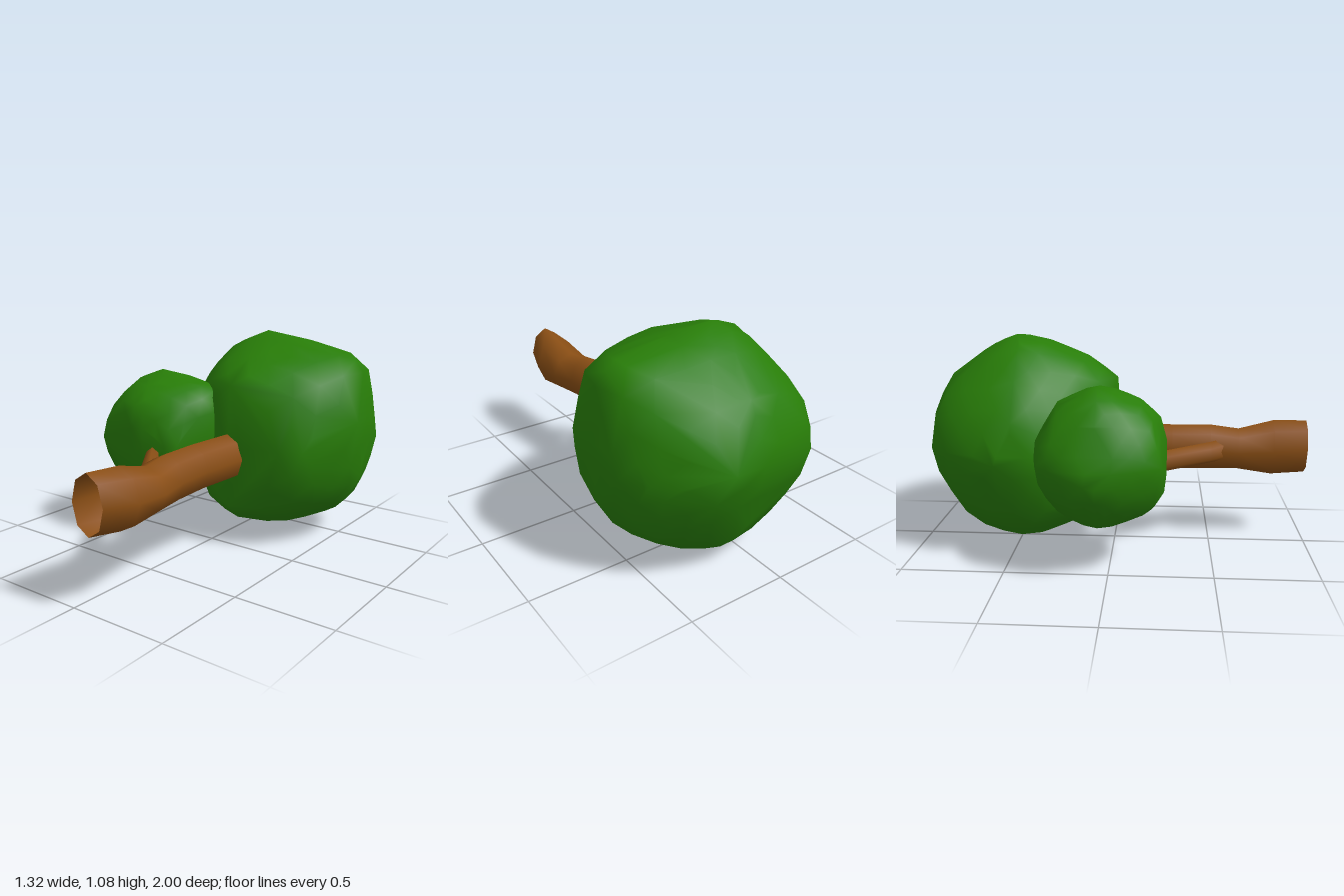
import * as THREE from 'three';
import { mergeVertices } from 'three/addons/utils/BufferGeometryUtils.js';
import { ConvexGeometry } from 'three/addons/geometries/ConvexGeometry.js';

const leafMaterial = new THREE.MeshStandardMaterial({ color: 0x287d08 });
const barkMaterial = new THREE.MeshStandardMaterial({ color: 0x8b4f15, side: THREE.DoubleSide });

// Weld the corners so the normals come out smooth
function smooth(geometry) {
  geometry.deleteAttribute('normal');
  geometry.deleteAttribute('uv');
  const welded = mergeVertices(geometry, 1e-4);
  welded.computeVertexNormals();
  return welded;
}

// Distance from (cu, cv) to a closed outline along the direction (du, dv)
function reach(outline, cu, cv, du, dv) {
  let best = 0;
  outline.forEach(([u0, v0], i) => {
    const [u1, v1] = outline[(i + 1) % outline.length];
    const eu = u1 - u0, ev = v1 - v0;
    const det = du * ev - dv * eu;
    if (Math.abs(det) < 1e-9) return;
    const t = ((u0 - cu) * ev - (v0 - cv) * eu) / det;
    const s = ((u0 - cu) * dv - (v0 - cv) * du) / det;
    if (t > 0 && s >= -1e-6 && s <= 1 + 1e-6) best = Math.max(best, t);
  });
  return best;
}

// Lumpy crown: the hull of three outlines (x-y, x-z, z-y) and a ball blended between them.
// An outline point may carry its own depth, otherwise it lies in the plane of the centre.
function crown(name, [cx, cy, cz], xy, xz, zy) {
  const points = [
    ...xy.map(([x, y, z = cz]) => new THREE.Vector3(x, y, z)),
    ...xz.map(([x, z, y = cy]) => new THREE.Vector3(x, y, z)),
    ...zy.map(([z, y, x = cx]) => new THREE.Vector3(x, y, z)),
  ];
  const ball = smooth(new THREE.IcosahedronGeometry(1, 4)).attributes.position;
  for (let i = 0; i < ball.count; i++) {
    const d = new THREE.Vector3().fromBufferAttribute(ball, i);
    let sum = 0, total = 0;
    [[xy, cx, cy, d.x, d.y, d.z], [xz, cx, cz, d.x, d.z, d.y], [zy, cz, cy, d.z, d.y, d.x]]
      .forEach(([outline, cu, cv, du, dv, off]) => {
        const len = Math.hypot(du, dv);
        if (len < 1e-3) return;
        const w = len * len / (off * off + 0.02);
        sum += w * reach(outline, cu, cv, du / len, dv / len);
        total += w;
      });
    d.multiplyScalar(sum / total);
    points.push(d.add(new THREE.Vector3(cx, cy, cz)));
  }
  const mesh = new THREE.Mesh(smooth(new ConvexGeometry(points)), leafMaterial);
  mesh.name = name;
  return mesh;
}

// Open limb through rings [z, centre x, centre y, radius x, radius y]
function limb(name, sides, rings) {
  const geometry = new THREE.CylinderGeometry(1, 1, 1, sides, rings.length - 1, true);
  geometry.rotateX(Math.PI / 2);
  const pos = geometry.attributes.position;
  for (let i = 0; i < pos.count; i++) {
    const row = Math.round((0.5 - pos.getZ(i)) * (rings.length - 1));
    const [z, cx, cy, rx, ry] = rings[row];
    pos.setXYZ(i, cx + rx * pos.getX(i), cy + ry * pos.getY(i), z);
  }
  const mesh = new THREE.Mesh(smooth(geometry), barkMaterial);
  mesh.name = name;
  return mesh;
}

export function createModel() {
  const group = new THREE.Group();
  group.name = 'fallenTree';

  // Hollow trunk lying along z
  group.add(limb('trunk', 8, [
    [1.0, 0.11, 0.49, 0.09, 0.14],
    [0.83, 0.129, 0.477, 0.118, 0.147],
    [0.65, 0.122, 0.468, 0.115, 0.11],
    [0.5, 0.11, 0.48, 0.105, 0.12],
    [0.3, 0.1, 0.48, 0.1, 0.12],
    [0, 0.115, 0.48, 0.095, 0.12],
    [-0.1, 0.12, 0.48, 0.09, 0.12],
  ]));

  // Side branch reaching into the small crown
  group.add(limb('branch', 6, [
    [0.62, 0.1, 0.48, 0.035, 0.06],
    [0.5, 0.005, 0.477, 0.062, 0.055],
    [0.25, -0.193, 0.478, 0.046, 0.053],
    [0.1, -0.31, 0.48, 0.04, 0.05],
  ]));

  group.add(crown('largeCrown', [0.12, 0.54, -0.47],
    [[0.03, 0, -0.4], [0.31, 0.065], [0.49, 0.15], [0.55, 0.21], [0.625, 0.35], [0.66, 0.67, -0.34],
      [0.615, 0.9], [0.57, 0.96], [0.51, 0.995], [0.24, 1.05], [0.02, 1.08, -0.5], [-0.12, 1.02],
      [-0.26, 0.88], [-0.38, 0.7], [-0.42, 0.5, -0.55], [-0.31, 0.22], [-0.17, 0.065]],
    [[0.29, -1, 0.62], [0.46, -0.85], [0.55, -0.76], [0.63, -0.64], [0.66, -0.34, 0.67], [0.5, -0.07],
      [0.4, 0], [0.2, 0.03], [0, -0.01], [-0.2, -0.15], [-0.27, -0.24], [-0.4, -0.36], [-0.42, -0.55, 0.5],
      [-0.33, -0.8], [-0.23, -0.9]],
    [[-0.5, 1.08, 0.02], [-0.64, 1.02], [-0.87, 0.86], [-1, 0.62, 0.29], [-0.81, 0.14], [-0.72, 0.05],
      [-0.4, 0, 0.03], [-0.07, 0.13], [0.02, 0.22], [0.03, 0.5], [0.01, 0.85], [-0.16, 0.97]]));

  group.add(crown('smallCrown', [-0.32, 0.54, -0.05],
    [[-0.66, 0.48, -0.1], [-0.64, 0.4], [-0.55, 0.27], [-0.5, 0.235], [-0.37, 0.2, 0], [-0.2, 0.235],
      [-0.1, 0.29], [-0.03, 0.36], [0, 0.45], [0.025, 0.6], [0.01, 0.72], [-0.02, 0.8], [-0.08, 0.83],
      [-0.25, 0.865], [-0.38, 0.88, -0.06], [-0.5, 0.835], [-0.58, 0.73]],
    [[-0.66, -0.1, 0.48], [-0.6, -0.27], [-0.54, -0.33], [-0.34, -0.37], [-0.2, -0.35], [-0.06, -0.25],
      [0.01, -0.1], [0.01, 0], [-0.08, 0.19], [-0.13, 0.235], [-0.27, 0.265], [-0.54, 0.25],
      [-0.61, 0.13], [-0.65, 0.02]],
    [[0.27, 0.62], [0.24, 0.73], [0.14, 0.82], [-0.06, 0.88, -0.38], [-0.25, 0.8], [-0.36, 0.62],
      [-0.36, 0.42], [-0.22, 0.25], [0, 0.2, -0.37], [0.2, 0.27], [0.26, 0.36], [0.27, 0.45]]));

  return group;
}
